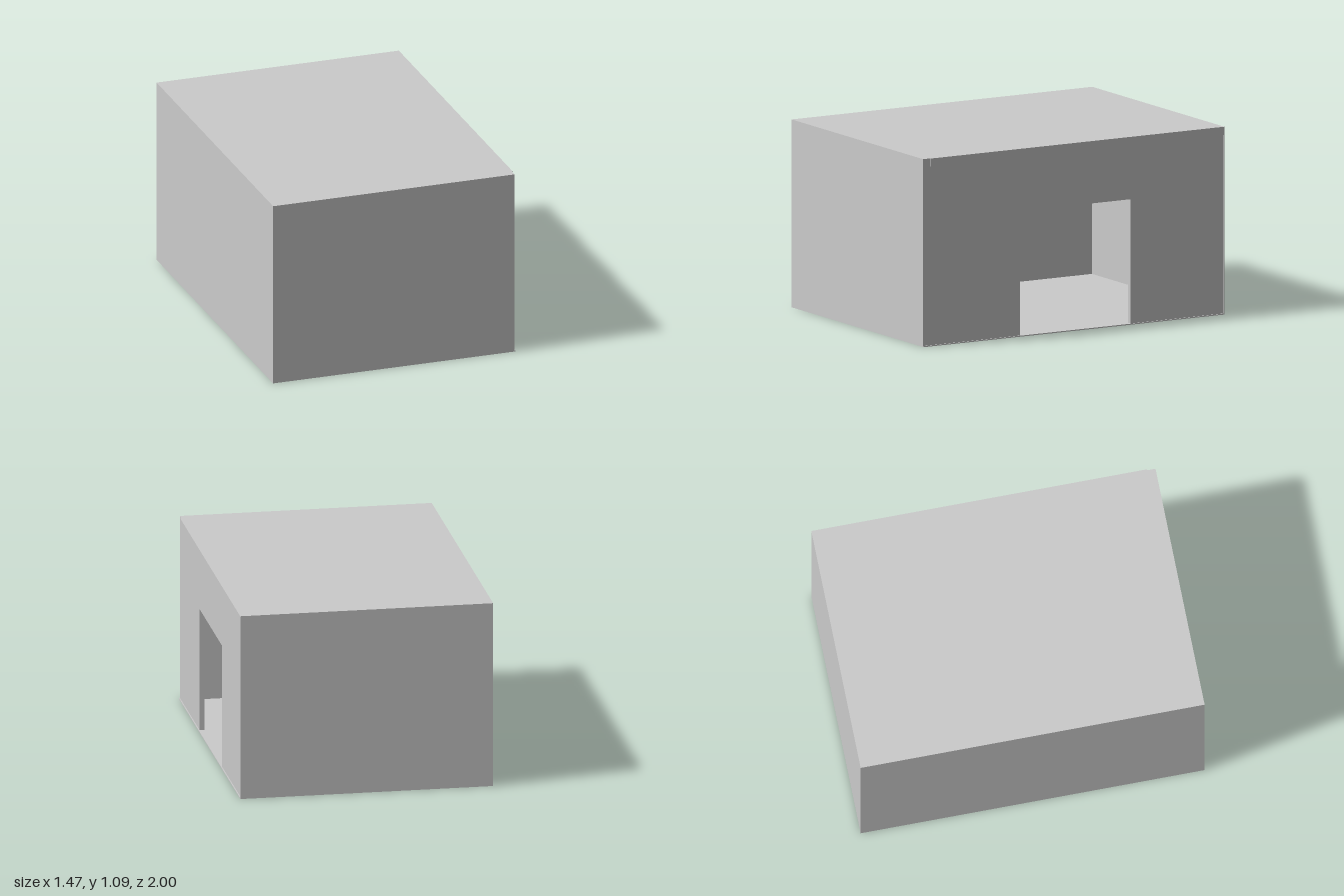
import * as THREE from 'three';

const X = 0.733;       // half width
const WALL_X = 0.727;  // outer face of the doorway wall, slightly recessed
const H = 1.09;        // total height
const THIN = 0.006;    // floor and panel thickness
const ROOF_Y = 1.043;  // underside of the roof
const FRONT_Z = 0.95;  // inner face of the front wall

export function createModel() {
  const group = new THREE.Group();
  const material = new THREE.MeshStandardMaterial({ color: 0xcccccc });

  const add = (name, geometry) => {
    const mesh = new THREE.Mesh(geometry, material);
    mesh.name = name;
    group.add(mesh);
    return mesh;
  };

  // Box given by its minimum and maximum corners
  const slab = (name, [x0, y0, z0], [x1, y1, z1]) => {
    const mesh = add(name, new THREE.BoxGeometry(x1 - x0, y1 - y0, z1 - z0));
    mesh.position.set((x0 + x1) / 2, (y0 + y1) / 2, (z0 + z1) / 2);
  };

  slab('floor', [-X, 0, -1], [X, THIN, 1]);
  slab('roof', [-X, ROOF_Y, -1], [X, H, FRONT_Z]);
  slab('frontWall', [-X, THIN, FRONT_Z], [WALL_X, H, 1]);
  slab('backWall', [-X, THIN, -1], [X, ROOF_Y, -1 + THIN]);
  slab('rightWall', [-X, THIN, -1 + THIN], [-X + THIN, ROOF_Y, FRONT_Z]);

  // Wall with the doorway, drawn as (-z, y) and extruded along x
  const outline = [
    [-FRONT_Z, THIN], [-0.355, THIN], [-0.355, 0.727], [0.38, 0.727],
    [0.38, THIN], [1 - THIN, THIN], [1 - THIN, ROOF_Y], [-FRONT_Z, ROOF_Y],
  ];
  const shape = new THREE.Shape(outline.map(([u, v]) => new THREE.Vector2(u, v)));
  const depth = 0.028;
  const doorWall = add('doorwayWall', new THREE.ExtrudeGeometry(shape, { depth, bevelEnabled: false }));
  doorWall.rotation.y = Math.PI / 2;
  doorWall.position.x = WALL_X - depth;

  return group;
}
